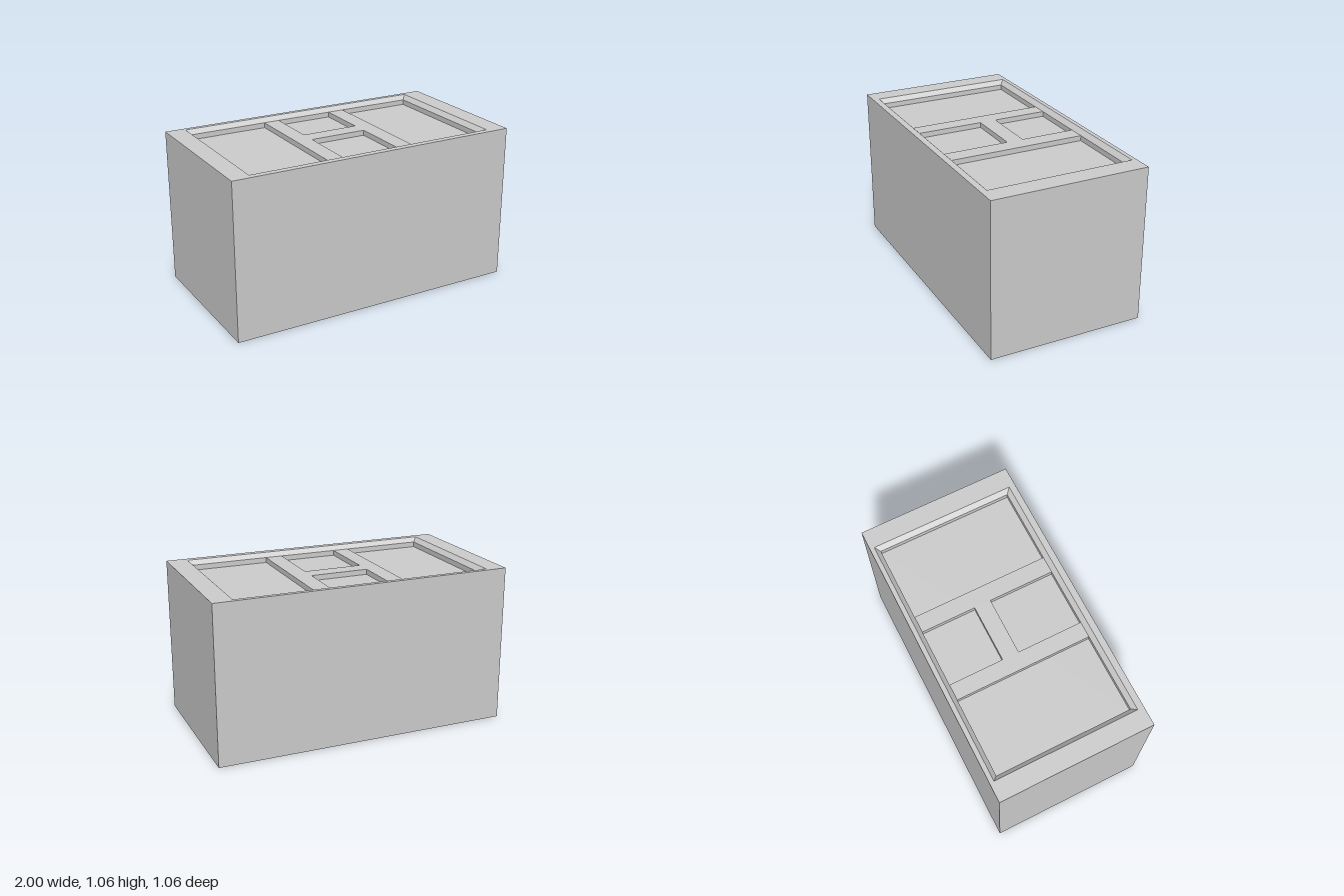
import * as THREE from 'three';

const TOP = 1.06, LEDGE = 1.03, FLOOR = 0.995;

// Four corners of a level rectangle, starting front-left and running round.
const rect = (x0, x1, z0, z1, y) => [[x0, y, z1], [x1, y, z1], [x1, y, z0], [x0, y, z0]];

// Flat-faced block with a sunken tray, built by joining successive rectangles.
function trayBlock(levels) {
  const pos = [];
  const quad = (a, b, c, d) => pos.push(...a, ...b, ...c, ...a, ...c, ...d);
  for (let i = 0; i < levels.length - 1; i++) {
    const a = levels[i], b = levels[i + 1];
    for (let k = 0; k < 4; k++) {
      const n = (k + 1) % 4;
      quad(a[k], a[n], b[n], b[k]);
    }
  }
  quad(...[...levels[0]].reverse()); // underside
  quad(...levels[levels.length - 1]); // tray floor
  const geo = new THREE.BufferGeometry();
  geo.setAttribute('position', new THREE.Float32BufferAttribute(pos, 3));
  geo.computeVertexNormals();
  return geo;
}

export function createModel() {
  const group = new THREE.Group();
  group.name = 'trayBlock';
  const material = new THREE.MeshStandardMaterial({ color: 0xcccccc, flatShading: true });
  const add = (name, geo) => {
    const mesh = new THREE.Mesh(geo, material);
    mesh.name = name;
    group.add(mesh);
  };

  // Solid block: outer walls, rim, bevel, straight tray wall, floor
  const tray = [-0.84, 0.835, -0.47, 0.457];
  add('block', trayBlock([
    rect(-1, 1, -0.53, 0.53, 0),
    rect(-1, 1, -0.53, 0.53, TOP),
    rect(-0.87, 0.865, -0.5, 0.487, TOP),
    rect(...tray, LEDGE),
    rect(...tray, FLOOR),
  ]));

  // H-shaped divider that splits the tray into four pockets
  const [, , back, front] = tray;
  const outline = [
    [-0.305, front], [-0.195, front], [-0.195, 0.013], [0.2, 0.013], [0.2, front], [0.315, front],
    [0.315, back], [0.2, back], [0.2, -0.1], [-0.195, -0.1], [-0.195, back], [-0.305, back],
  ];
  const shape = new THREE.Shape(outline.map(([x, z]) => new THREE.Vector2(x, -z)));
  const divider = new THREE.ExtrudeGeometry(shape, { depth: LEDGE - FLOOR, bevelEnabled: false });
  divider.rotateX(-Math.PI / 2);
  divider.translate(0, FLOOR, 0);
  add('pocketDivider', divider);

  return group;
}
